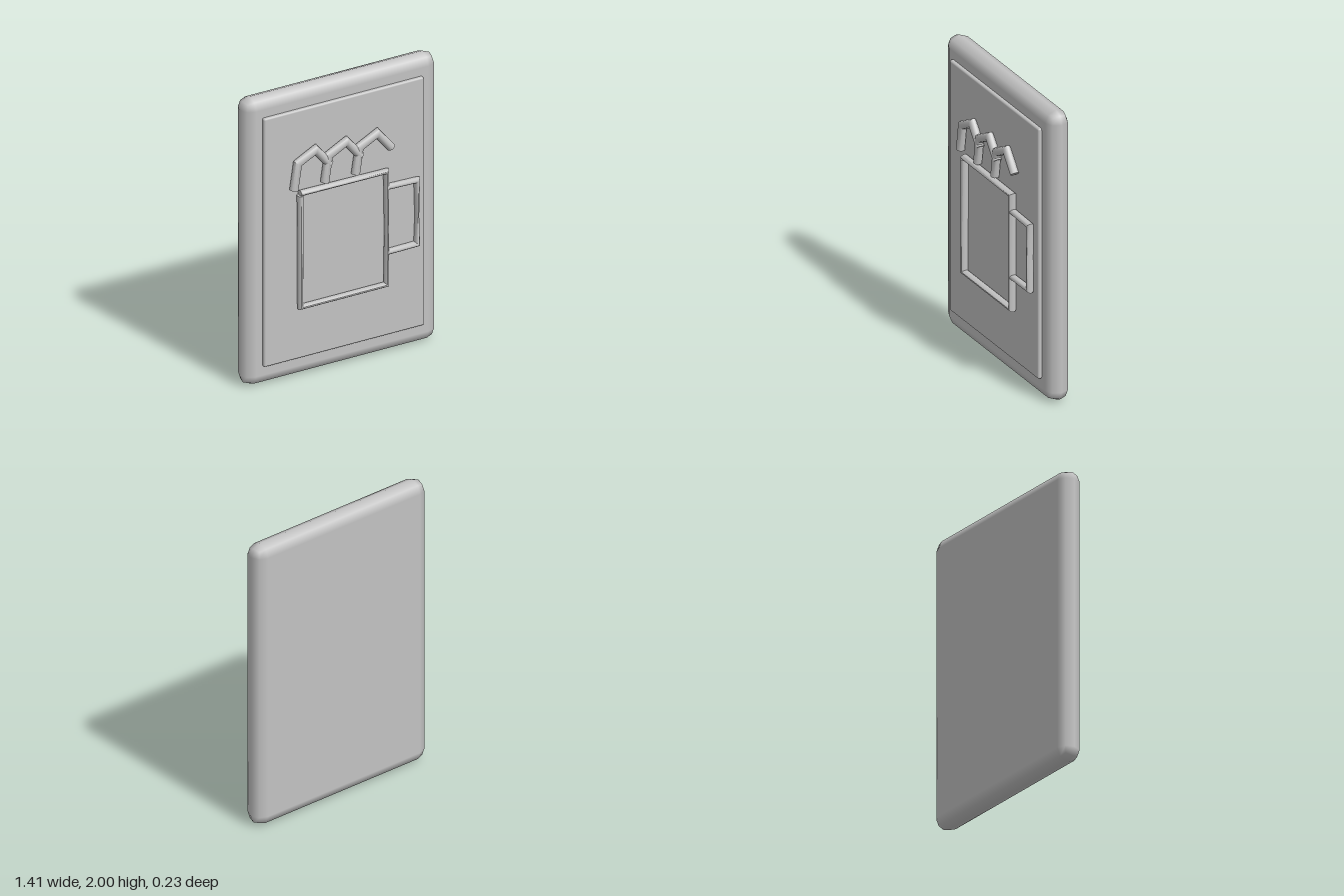
import * as THREE from 'three';
import { toCreasedNormals } from 'three/addons/utils/BufferGeometryUtils.js';

const grey = new THREE.MeshStandardMaterial({ color: 0xc2c2c2 });
grey.name = 'grey';

// Box whose edges are rounded by two facets, with smooth normals
function softBox(w, h, d, r) {
  const geo = new THREE.BoxGeometry(1, 1, 1, 3, 3, 3);
  const pos = geo.attributes.position;
  const half = new THREE.Vector3(w / 2 - r, h / 2 - r, d / 2 - r);
  const n = new THREE.Vector3();
  for (let i = 0; i < pos.count; i++) {
    const p = new THREE.Vector3().fromBufferAttribute(pos, i);
    const step = (v) => (Math.abs(v) > 0.4 ? Math.sign(v) : 0);
    n.set(step(p.x), step(p.y), step(p.z)).normalize();
    pos.setXYZ(i,
      Math.sign(p.x) * half.x + n.x * r,
      Math.sign(p.y) * half.y + n.y * r,
      Math.sign(p.z) * half.z + n.z * r);
    geo.attributes.normal.setXYZ(i, n.x, n.y, n.z);
  }
  return geo;
}

// Raised rounded bar along mitred points [x, y, half width]
function stroke(points, z, depth) {
  const sides = 10, verts = [], index = [];
  const dirs = points.slice(1).map((p, i) =>
    new THREE.Vector2(p[0] - points[i][0], p[1] - points[i][1]).normalize());
  points.forEach(([x, y, w], i) => {
    const a = dirs[Math.max(i - 1, 0)], b = dirs[Math.min(i, dirs.length - 1)];
    const d = a.clone().add(b).normalize();
    const s = w / d.dot(a);
    for (let j = 0; j < sides; j++) {
      const t = (j / sides) * Math.PI * 2;
      verts.push(x - d.y * s * Math.cos(t), y + d.x * s * Math.cos(t), z + depth * Math.sin(t));
    }
  });
  const last = points.length - 1, c0 = points.length * sides, c1 = c0 + 1;
  verts.push(points[0][0], points[0][1], z, points[last][0], points[last][1], z);
  for (let j = 0; j < sides; j++) {
    const k = (j + 1) % sides;
    for (let i = 0; i < last; i++) {
      const a = i * sides, b = a + sides;
      index.push(a + j, a + k, b + k, a + j, b + k, b + j);
    }
    index.push(c0, k, j, c1, last * sides + j, last * sides + k);
  }
  const geo = new THREE.BufferGeometry();
  geo.setAttribute('position', new THREE.Float32BufferAttribute(verts, 3));
  geo.setIndex(index);
  return toCreasedNormals(geo, 0.85);
}

export function createModel() {
  const model = new THREE.Group();
  model.name = 'mugSign';
  const add = (name, geo, x = 0, y = 0, z = 0) => {
    const mesh = new THREE.Mesh(geo, grey);
    mesh.name = name;
    mesh.position.set(x, y, z);
    model.add(mesh);
  };

  // Thick board and thin raised panel
  add('board', softBox(1.41, 2, 0.155, 0.076), 0, 1, -0.042);
  add('panel', softBox(1.17, 1.73, 0.04, 0.012), 0, 1.005, 0.04);

  // Mug outline, its right bar pinched at the middle
  add('mugOutline', stroke([
    [-0.338, 1.29, 0.02], [-0.338, 0.512, 0.015], [0.29, 0.512, 0.015],
    [0.291, 0.92, 0.009], [0.29, 1.3, 0.016], [-0.34, 1.305, 0.018],
  ], 0.085, 0.026));

  // Handle outline
  add('handle', stroke([
    [0.29, 0.735, 0.018], [0.515, 0.738, 0.018], [0.515, 0.95, 0.008],
    [0.515, 1.182, 0.018], [0.29, 1.188, 0.018],
  ], 0.083, 0.026));

  // Three overlapping foam arches
  const arch = stroke([
    [-0.385, 1.34, 0.028], [-0.358, 1.518, 0.028],
    [-0.228, 1.584, 0.028], [-0.125, 1.46, 0.028],
  ], 0.087, 0.029);
  for (let i = 0; i < 3; i++) add('foamArch' + (i + 1), arch, i * 0.225);

  return model;
}
